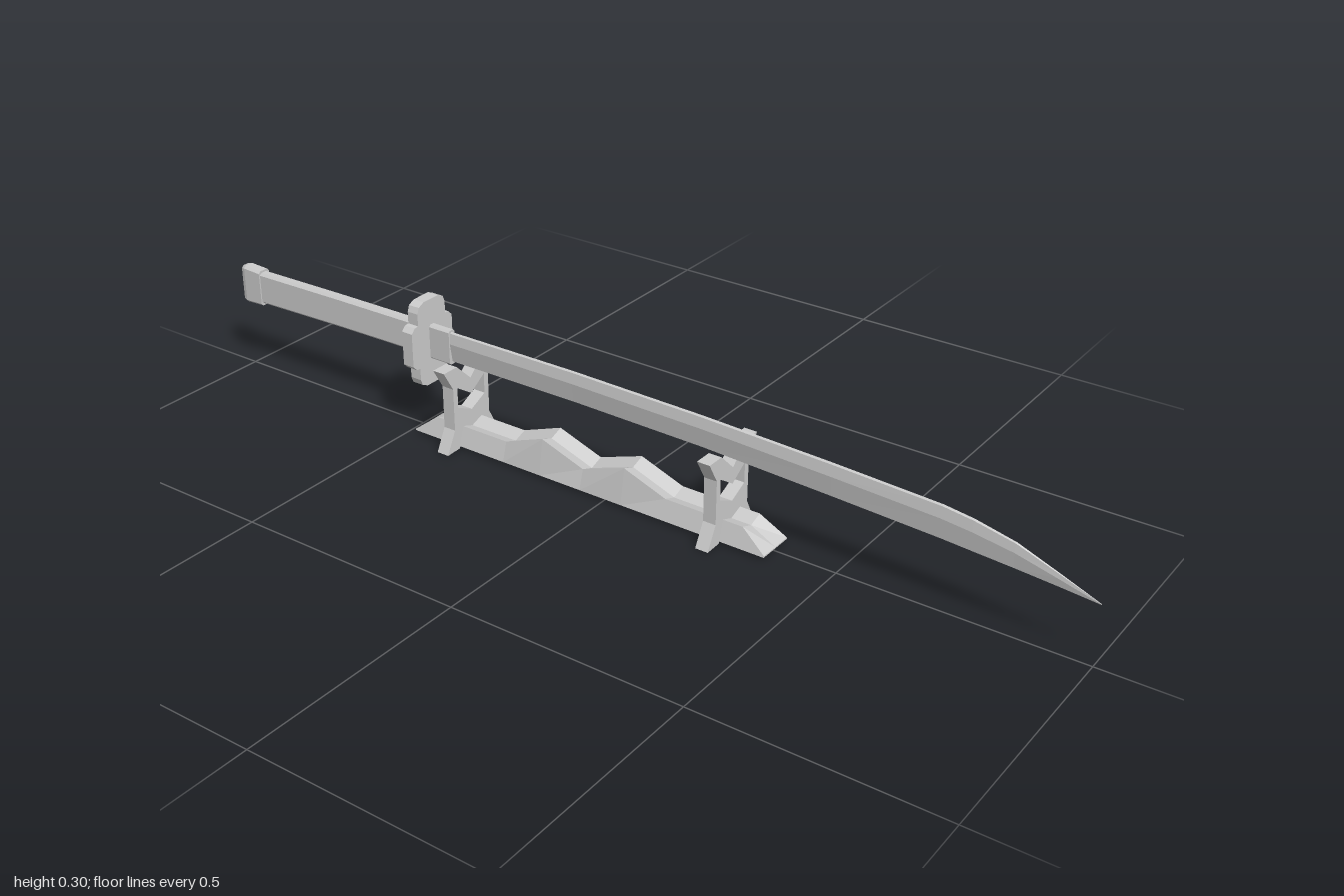
import * as THREE from 'three';

const material = new THREE.MeshStandardMaterial({ color: 0xcccccc, flatShading: true, side: THREE.DoubleSide });

function addMesh(parent, name, geometry) {
  const mesh = new THREE.Mesh(geometry, material);
  mesh.name = name;
  parent.add(mesh);
  return mesh;
}

// Skin rings of [z, y] points placed at successive x positions, with flat end caps.
function loft(sections) {
  const pos = [];
  const tri = (a, b, c) => pos.push(...a, ...b, ...c);
  const rings = sections.map(({ x, ring }) => ring.map(([z, y]) => [x, y, z]));
  const n = rings[0].length;
  for (let i = 0; i < rings.length - 1; i++) {
    for (let j = 0; j < n; j++) {
      const k = (j + 1) % n;
      const [a, b, c, d] = [rings[i][j], rings[i][k], rings[i + 1][k], rings[i + 1][j]];
      tri(a, c, b);
      tri(a, d, c);
    }
  }
  const caps = THREE.ShapeUtils.triangulateShape(sections[0].ring.map(([z, y]) => new THREE.Vector2(z, y)), []);
  const first = rings[0], last = rings[rings.length - 1];
  for (const [a, b, c] of caps) {
    tri(first[a], first[b], first[c]);
    tri(last[a], last[c], last[b]);
  }
  const g = new THREE.BufferGeometry();
  g.setAttribute('position', new THREE.Float32BufferAttribute(pos, 3));
  g.computeVertexNormals();
  return g;
}

// Complete a right-hand outline (bottom to top) with its mirror image.
const mirrored = (half) => [
  ...half,
  ...half.filter(([z]) => z > 0).reverse().map(([z, y]) => [-z, y]),
];

// Plate in the z-y plane, thick along x.
function plate(outline, holes, x0, x1) {
  const vec = ([z, y]) => new THREE.Vector2(-z, y);
  const shape = new THREE.Shape(outline.map(vec));
  holes.forEach((h) => shape.holes.push(new THREE.Path(h.map(vec))));
  const g = new THREE.ExtrudeGeometry(shape, { depth: x1 - x0, bevelEnabled: false });
  return g.rotateY(Math.PI / 2).translate(x0, 0, 0);
}

// Rectangle with chamfered corners.
const gripRing = (y0, y1, w, c) => mirrored([[w - c, y0], [w, y0 + c], [w, y1 - c], [w - c, y1]]);

export function createModel() {
  const model = new THREE.Group();
  const sword = new THREE.Group();
  sword.name = 'sword';
  const stand = new THREE.Group();
  stand.name = 'stand';
  model.add(sword, stand);

  // Blade: x, edge height, spine height, thickness factor
  const bladeStations = [
    [-0.47, 0.17, 0.237, 1], [-0.1, 0.172, 0.239, 1], [0.2, 0.168, 0.235, 1],
    [0.48, 0.157, 0.226, 0.95], [0.7, 0.147, 0.216, 0.85], [0.76, 0.143, 0.208, 0.8],
    [0.84, 0.138, 0.19, 0.65], [0.92, 0.132, 0.159, 0.4], [1, 0.125, 0.127, 0.06],
  ];
  addMesh(sword, 'blade', loft(bladeStations.map(([x, y0, y1, t]) => {
    const h = y1 - y0;
    return { x, ring: mirrored([[0, y0], [0.007 * t, y0 + h * 0.62], [0.004 * t, y1 - h * 0.04], [0, y1]]) };
  })));

  // Collar between blade and guard
  addMesh(sword, 'bladeCollar', loft([-0.465, -0.41].map((x) => (
    { x, ring: gripRing(0.165, 0.241, 0.009, 0.004) }))));

  // Guard with stepped lobes, symmetric about its middle height
  const guardTop = [[0.062, 0.24], [0.052, 0.25], [0.042, 0.251], [0.042, 0.277], [0.037, 0.29], [0.022, 0.297]];
  const guardHalf = [...guardTop.map(([z, y]) => [z, 0.406 - y]).reverse(), ...guardTop];
  addMesh(sword, 'guard', plate(mirrored(guardHalf), [], -0.488, -0.462));

  // Handle and end cap
  addMesh(sword, 'handle', loft([
    { x: -0.97, ring: gripRing(0.161, 0.233, 0.012, 0.005) },
    { x: -0.72, ring: gripRing(0.167, 0.237, 0.012, 0.005) },
    { x: -0.48, ring: gripRing(0.17, 0.239, 0.012, 0.005) },
  ]));
  addMesh(sword, 'pommel', loft([
    { x: -1, ring: gripRing(0.157, 0.238, 0.012, 0.005) },
    { x: -0.99, ring: gripRing(0.155, 0.24, 0.015, 0.005) },
    { x: -0.945, ring: gripRing(0.157, 0.238, 0.015, 0.005) },
  ]));

  // Two flared uprights, arched over the base bar, with a chevron opening
  const uprightHalf = [
    [0, 0.037], [0.03, 0.048], [0.042, 0.001], [0.08, 0], [0.055, 0.048],
    [0.055, 0.142], [0.081, 0.187], [0.041, 0.187], [0, 0.147],
  ];
  const opening = mirrored([[0, 0.075], [0.042, 0.095], [0.042, 0.14], [0, 0.112]]);
  [-0.378, 0.257].forEach((x, i) => {
    addMesh(stand, i ? 'bladeUpright' : 'handleUpright', plate(mirrored(uprightHalf), [opening], x - 0.014, x + 0.014));
  });

  // Base bar with a grooved top and two peaks
  const barTop = [
    [-0.484, 0.009], [-0.43, 0.048], [-0.25, 0.048], [-0.157, 0.083], [-0.057, 0.048],
    [0.043, 0.083], [0.14, 0.048], [0.315, 0.048], [0.37, 0.009],
  ];
  addMesh(stand, 'baseBar', loft(barTop.map(([x, y]) => {
    const rise = Math.min(1, (y - 0.006) / 0.042);
    const top = 0.042 - 0.012 * rise;
    return { x, ring: mirrored([[0.042, 0.006], [top, y], [0, y - 0.011 * rise]]) };
  })));

  return model;
}
